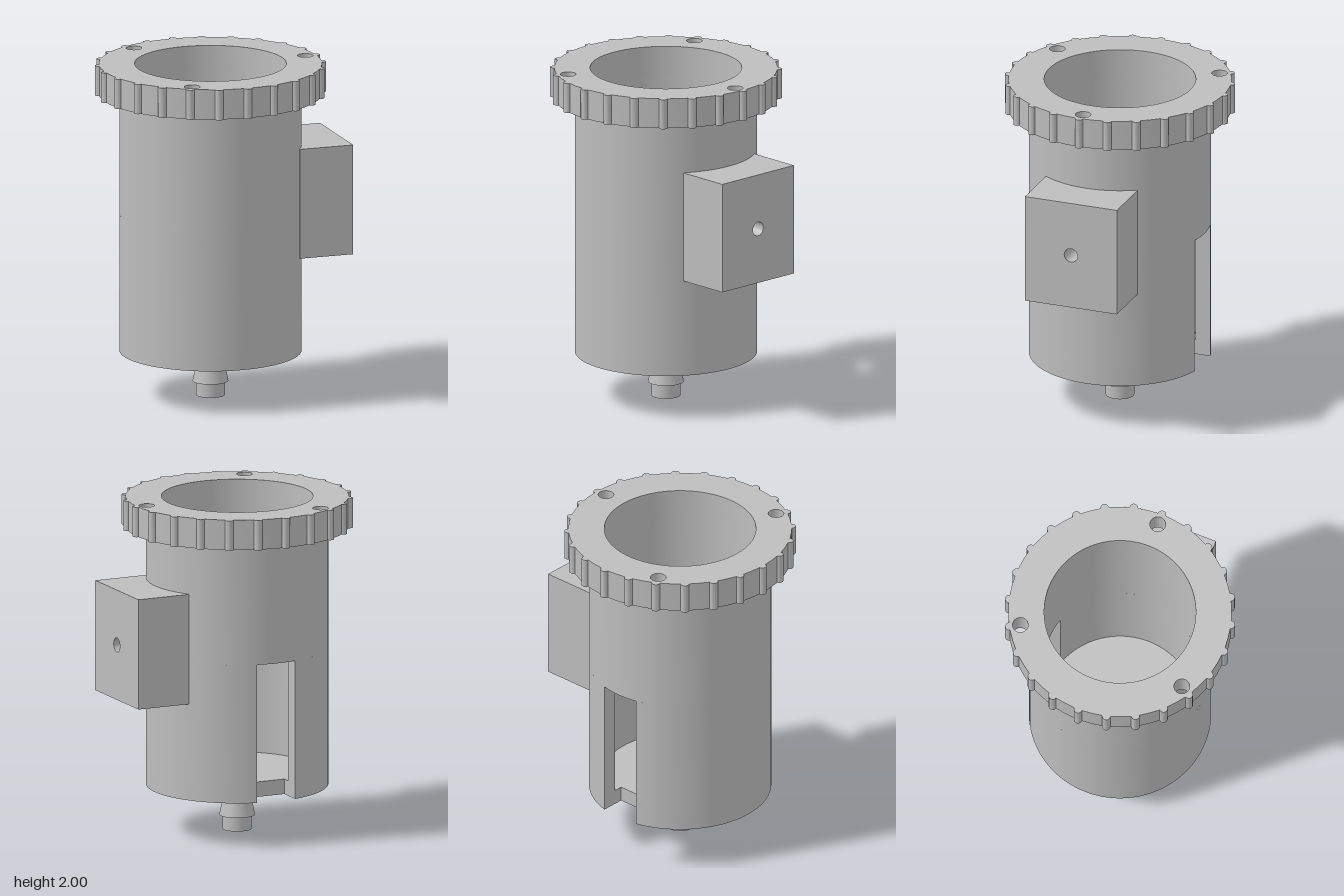
import * as THREE from 'three';
import { toCreasedNormals } from 'three/addons/utils/BufferGeometryUtils.js';

const AXIS_X = -0.055;               // centre line of the round parts
const OUTER = 0.535, INNER = 0.445;  // housing wall radii
const BORE = 0.05;                   // outlet hole radius
const SLOT = 0.125;                  // half width of the rear slot
const BOTTOM = 0.27, FLOOR = 0.36, SLOT_TOP = 1.1, FLANGE = 1.82, TOP = 2;

const grey = new THREE.MeshStandardMaterial({ color: 0xbdbdbd });
grey.name = 'grey plastic';

function addMesh(group, name, geometry) {
  const mesh = new THREE.Mesh(toCreasedNormals(geometry, 0.45), grey);
  mesh.name = name;
  group.add(mesh);
  return mesh;
}

// Extrude a plan outline upwards; outline +y points to the back (-z)
function slab(shape, y0, y1) {
  const g = new THREE.ExtrudeGeometry(shape, { depth: y1 - y0, bevelEnabled: false, curveSegments: 64 });
  return g.rotateX(-Math.PI / 2).translate(0, y0, 0);
}

function circle(x, y, r, Type = THREE.Path) {
  const p = new Type();
  p.absarc(x, y, r, 0, Math.PI * 2, false);
  return p;
}

// Outer wall arc that leaves the rear slot open
function slottedArc() {
  const a = Math.asin(SLOT / OUTER);
  const s = new THREE.Shape();
  s.absarc(0, 0, OUTER, Math.PI / 2 + a, Math.PI * 2.5 - a, false);
  return s;
}

// Flange outline with evenly spaced half-round grip ribs
function flangeShape() {
  const R = 0.655, rib = 0.025, count = 24, steps = 8;
  const points = [];
  for (let k = 0; k < count; k++) {
    const a = (k / count) * Math.PI * 2;
    for (let j = 0; j <= steps; j++) {
      const b = a - Math.PI / 2 + (j / steps) * Math.PI;
      points.push(new THREE.Vector2(R * Math.cos(a) + rib * Math.cos(b), R * Math.sin(a) + rib * Math.sin(b)));
    }
    const m = a + Math.PI / count;
    points.push(new THREE.Vector2(R * Math.cos(m), R * Math.sin(m)));
  }
  const s = new THREE.Shape(points);
  s.holes.push(circle(0, 0, INNER));
  for (let i = 0; i < 3; i++) {
    const a = (i / 3) * Math.PI * 2;
    s.holes.push(circle(0.59 * Math.cos(a), 0.59 * Math.sin(a), 0.046));
  }
  return s;
}

export function createModel() {
  const model = new THREE.Group();
  model.name = 'housing';
  const round = new THREE.Group();
  round.name = 'roundBody';
  round.position.x = AXIS_X;
  model.add(round);

  // Floor with outlet hole and rear notch
  const floor = slottedArc();
  floor.lineTo(SLOT, 0.375);
  floor.lineTo(-SLOT, 0.375);
  floor.closePath();
  floor.holes.push(circle(0, 0, BORE));
  addMesh(round, 'floor', slab(floor, BOTTOM, FLOOR));

  // Wall beside the slot
  const b = Math.asin(SLOT / INNER);
  const lower = slottedArc();
  lower.lineTo(INNER * Math.sin(b), INNER * Math.cos(b));
  lower.absarc(0, 0, INNER, Math.PI / 2 - b, -Math.PI * 1.5 + b, true);
  lower.closePath();
  addMesh(round, 'lowerWall', slab(lower, FLOOR, SLOT_TOP));

  // Full wall above the slot
  const upper = circle(0, 0, OUTER, THREE.Shape);
  upper.holes.push(circle(0, 0, INNER));
  addMesh(round, 'upperWall', slab(upper, SLOT_TOP, FLANGE));

  // Ribbed flange with three screw holes
  addMesh(round, 'flange', slab(flangeShape(), FLANGE, TOP));

  // Barbed outlet nozzle
  const profile = [
    [BORE, 0], [0.085, 0], [0.085, 0.085], [0.105, 0.085], [0.083, 0.195],
    [0.083, BOTTOM], [BORE, BOTTOM], [BORE, 0],
  ].map(([r, y]) => new THREE.Vector2(r, y));
  // Short straight segments keep every profile corner crisp
  for (let i = 0; i < profile.length - 1; i++) {
    addMesh(round, 'nozzle', new THREE.LatheGeometry([profile[i], profile[i + 1]], 40));
  }

  // Side mounting block with a screw hole
  const face = new THREE.Shape();
  face.moveTo(-0.29, -0.33);
  face.lineTo(0.29, -0.33);
  face.lineTo(0.29, 0.33);
  face.lineTo(-0.29, 0.33);
  face.closePath();
  face.holes.push(circle(0, 0, 0.042));
  const block = new THREE.ExtrudeGeometry(face, { depth: 0.33, bevelEnabled: false, curveSegments: 24 });
  block.rotateY(Math.PI / 2).translate(0.4, 1.18, 0);
  addMesh(model, 'mountingBlock', block);

  return model;
}
